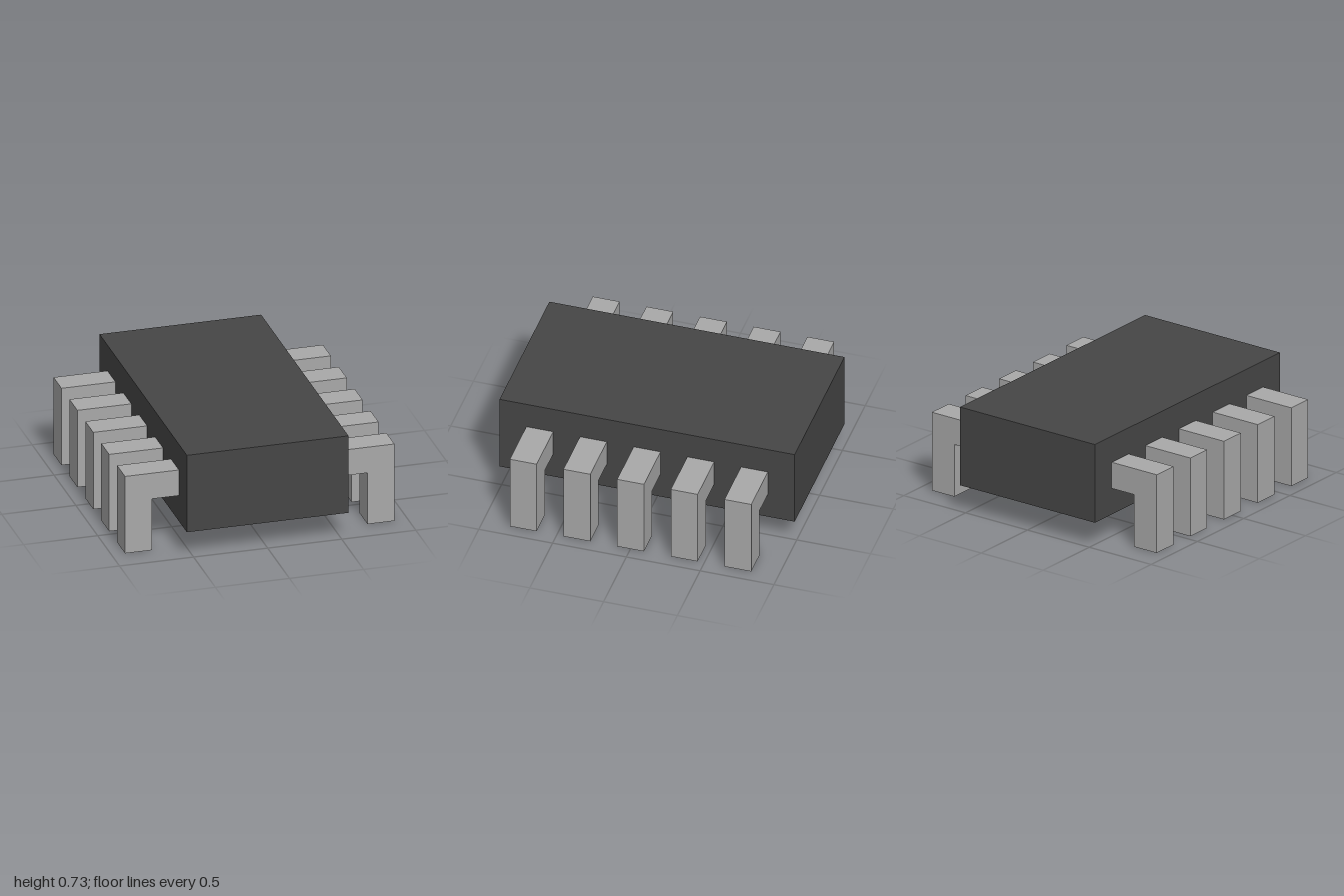
import * as THREE from 'three';

const U = 2 / 11; // lead width, the module of the whole chip

export function createModel() {
  const chip = new THREE.Group();
  chip.name = 'chip';

  const casing = new THREE.MeshStandardMaterial({ color: 0x464646 });
  casing.name = 'dark casing';
  const metal = new THREE.MeshStandardMaterial({ color: 0xa8a8a8 });
  metal.name = 'grey metal';

  // Casing block
  const body = new THREE.Mesh(new THREE.BoxGeometry(6 * U, 3 * U, 11 * U), casing);
  body.name = 'body';
  body.position.y = 2.5 * U;
  chip.add(body);

  // Bent lead: L profile extruded along z
  const profile = new THREE.Shape(
    [[3, 2], [4, 2], [4, 0], [5, 0], [5, 3], [3, 3]].map(([x, y]) => new THREE.Vector2(x * U, y * U))
  );
  const leadGeometry = new THREE.ExtrudeGeometry(profile, { depth: U, bevelEnabled: false });
  leadGeometry.translate(0, 0, -U / 2);

  // Five leads on each side
  for (const side of ['left', 'right']) {
    const row = new THREE.Group();
    row.name = side + 'Leads';
    if (side === 'right') row.rotation.y = Math.PI;
    for (let i = -2; i <= 2; i++) {
      const lead = new THREE.Mesh(leadGeometry, metal);
      lead.name = side + 'Lead' + (i + 3);
      lead.position.z = i * 2 * U;
      row.add(lead);
    }
    chip.add(row);
  }
  return chip;
}
